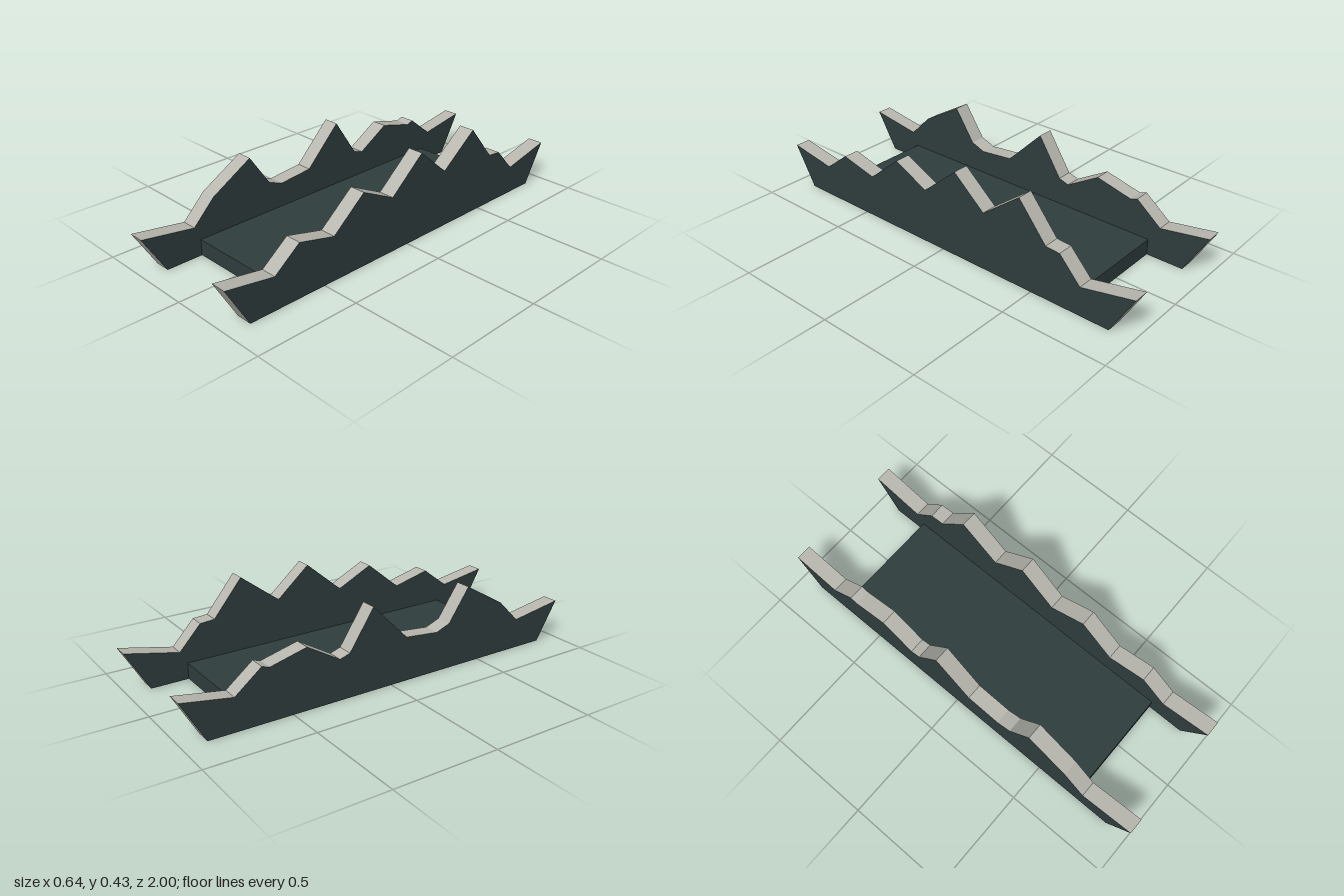
import * as THREE from 'three';

const teal = new THREE.MeshStandardMaterial({ color: 0x2f3d3d });
teal.name = 'dark teal';
const stone = new THREE.MeshStandardMaterial({ color: 0xb8b8b0 });
stone.name = 'pale stone';

// Jagged rims as [z, y], running from front to back
const leftRim = [
  [1, 0.195], [0.76, 0.155], [0.63, 0.255], [0.445, 0.21], [0.275, 0.35], [0.1, 0.265],
  [-0.08, 0.418], [-0.24, 0.28], [-0.43, 0.425], [-0.57, 0.255], [-0.64, 0.25], [-0.745, 0.137], [-1, 0.193],
];
const rightRim = [
  [1, 0.186], [0.74, 0.145], [0.63, 0.255], [0.425, 0.374], [0.32, 0.22], [0.25, 0.193],
  [0.08, 0.21], [-0.1, 0.39], [-0.22, 0.208], [-0.27, 0.192], [-0.43, 0.287], [-0.605, 0.243],
  [-0.64, 0.255], [-0.765, 0.155], [-1, 0.195],
];

// Upright slab with teal faces and underside, pale rim and ends
function wall(name, rim, x) {
  const outline = [[0.89, 0], ...rim, [-0.89, 0]].map(([z, y]) => new THREE.Vector2(-z, y));
  const geo = new THREE.ExtrudeGeometry(new THREE.Shape(outline), { depth: 0.076, bevelEnabled: false });
  geo.rotateY(Math.PI / 2).translate(x - 0.038, 0, 0);
  const normal = geo.attributes.normal;
  geo.clearGroups();
  for (let i = 0; i < normal.count; i += 3) {
    const isTeal = Math.abs(normal.getX(i)) > 0.9 || normal.getY(i) < -0.9;
    geo.addGroup(i, 3, isTeal ? 0 : 1);
  }
  const mesh = new THREE.Mesh(geo, [teal, stone]);
  mesh.name = name;
  return mesh;
}

export function createModel() {
  const group = new THREE.Group();
  group.name = 'walledPath';

  // Flat slab between the walls
  const floor = new THREE.Mesh(new THREE.BoxGeometry(0.484, 0.077, 1.424), teal);
  floor.name = 'floor';
  floor.position.y = 0.0385;
  group.add(floor);

  group.add(wall('leftWall', leftRim, 0.28), wall('rightWall', rightRim, -0.28));
  return group;
}
